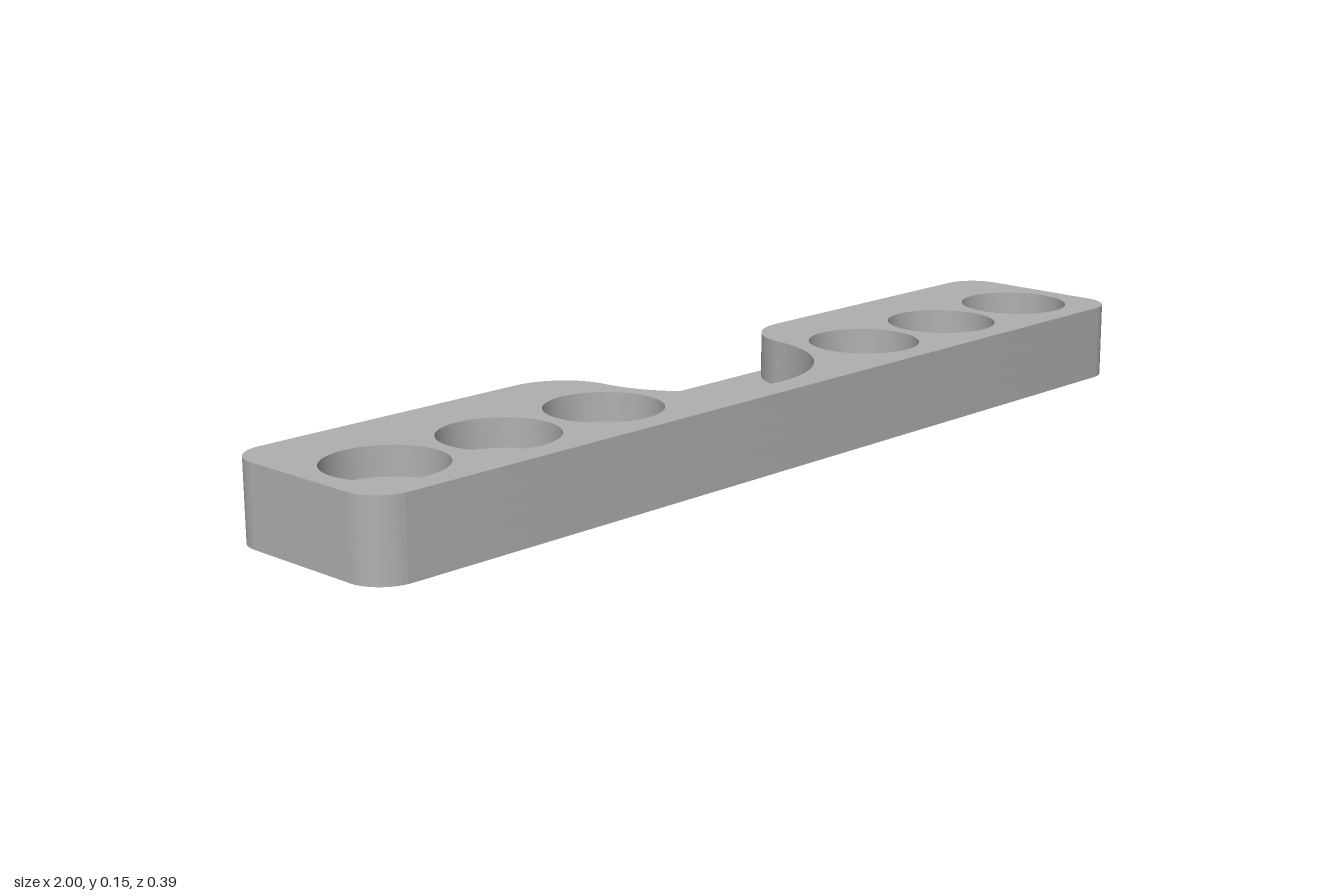
import * as THREE from 'three';
import { toCreasedNormals } from 'three/addons/utils/BufferGeometryUtils.js';

const HALF_X = 1, HALF_Z = 0.195, CORNER = 0.07;
const TOP = 0.15, CUP_FLOOR = 0.095, RECESS_FLOOR = 0.06;
const FILLET = 0.12, FILLET_X = 0.358, RECESS_Z = -0.098;

// Outline drawn in x and z; the back edge can be cut by the round recess
function outline(withRecess) {
  const s = new THREE.Shape();
  const cx = HALF_X - CORNER, cz = HALF_Z - CORNER;
  s.moveTo(-cx, -HALF_Z);
  if (withRecess) {
    const fz = -HALF_Z + FILLET;
    const tilt = Math.atan2(fz - RECESS_Z, FILLET_X);
    const radius = Math.hypot(FILLET_X, fz - RECESS_Z) - FILLET;
    s.absarc(-FILLET_X, fz, FILLET, -Math.PI / 2, -tilt, false);
    s.absarc(0, RECESS_Z, radius, Math.PI - tilt, tilt, true);
    s.absarc(FILLET_X, fz, FILLET, Math.PI + tilt, Math.PI * 1.5, false);
  }
  s.absarc(cx, -cz, CORNER, -Math.PI / 2, 0, false);
  s.absarc(cx, cz, CORNER, 0, Math.PI / 2, false);
  s.absarc(-cx, cz, CORNER, Math.PI / 2, Math.PI, false);
  s.absarc(-cx, -cz, CORNER, Math.PI, Math.PI * 1.5, false);
  return s;
}

function addHole(shape, x, z, r) {
  const hole = new THREE.Path();
  hole.absarc(x, z, r, 0, Math.PI * 2, true);
  shape.holes.push(hole);
}

// Extrude an outline between two heights, smooth on its curves
function layer(name, shape, y0, y1, material) {
  const geo = new THREE.ExtrudeGeometry(shape, { depth: y1 - y0, bevelEnabled: false, curveSegments: 32 });
  geo.rotateX(Math.PI / 2).translate(0, y1, 0);
  const mesh = new THREE.Mesh(toCreasedNormals(geo, 0.6), material);
  mesh.name = name;
  return mesh;
}

export function createModel() {
  const group = new THREE.Group();
  group.name = 'holderBar';
  const grey = new THREE.MeshStandardMaterial({ color: 0xb0b0b0 });
  grey.name = 'grey';

  // Base with the screw hole
  const base = outline(false);
  addHole(base, 0, -0.013, 0.055);
  group.add(layer('base', base, 0, RECESS_FLOOR, grey));

  // Solid layer below the cups
  group.add(layer('middle', outline(true), RECESS_FLOOR, CUP_FLOOR, grey));

  // Top layer with three round cups on each side
  const top = outline(true);
  for (const side of [-1, 1])
    for (const x of [0.358, 0.605, 0.852]) addHole(top, side * x, 0.037, 0.109);
  group.add(layer('cupLayer', top, CUP_FLOOR, TOP, grey));

  return group;
}
